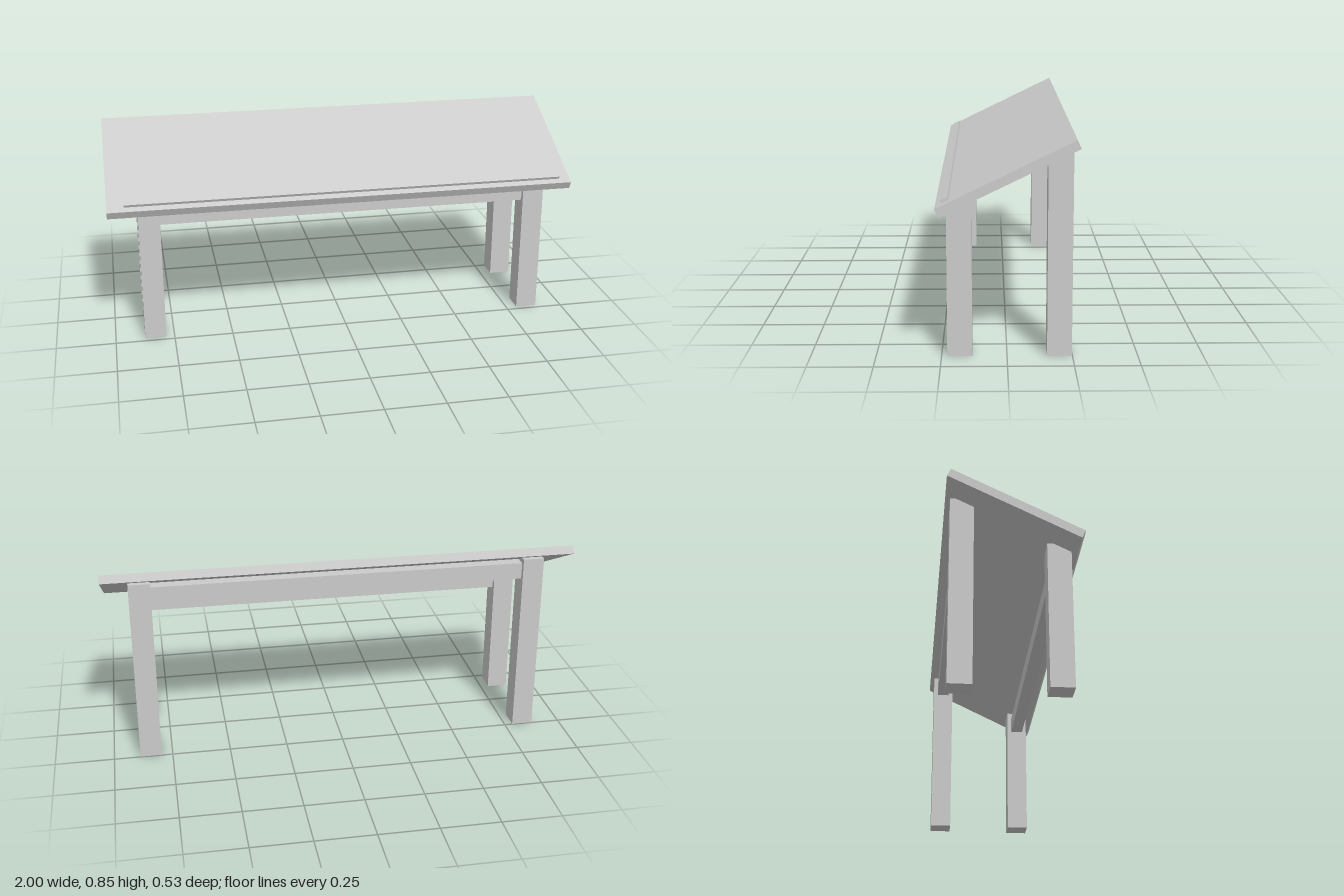
import * as THREE from 'three';

const material = new THREE.MeshStandardMaterial({ color: 0xcccccc, flatShading: true });

// Box given by its minimum and maximum on each axis
function box(name, [x0, x1], [y0, y1], [z0, z1]) {
  const mesh = new THREE.Mesh(new THREE.BoxGeometry(x1 - x0, y1 - y0, z1 - z0), material);
  mesh.name = name;
  mesh.position.set((x0 + x1) / 2, (y0 + y1) / 2, (z0 + z1) / 2);
  return mesh;
}

export function createModel() {
  const model = new THREE.Group();
  model.name = 'slantedDesk';

  // Sloping top with a narrow stop strip along its lower edge
  const top = new THREE.Group();
  top.name = 'slantedTop';
  top.position.set(0, 0.7105, 0);
  top.rotation.x = Math.atan2(0.252, 0.517);
  top.add(
    box('topBoard', [-1, 1], [-0.0178, 0.0178], [-0.2875, 0.2875]),
    box('stopStrip', [-0.93, 0.953], [0.0178, 0.03], [0.231, 0.261])
  );
  model.add(top);

  // Short front legs and tall back legs, each pair joined by a rail
  const sides = { right: [-0.875, -0.785], left: [0.797, 0.888] };
  const rows = [
    { name: 'front', height: 0.613, legZ: [0.133, 0.228], railY: [0.512, 0.583], railZ: [0.153, 0.208] },
    { name: 'back', height: 0.8, legZ: [-0.248, -0.153], railY: [0.706, 0.777], railZ: [-0.228, -0.173] }
  ];
  for (const row of rows) {
    for (const [side, legX] of Object.entries(sides)) {
      model.add(box(`${row.name}Leg_${side}`, legX, [0, row.height], row.legZ));
    }
    model.add(box(`${row.name}Rail`, [sides.right[1], sides.left[0]], row.railY, row.railZ));
  }
  return model;
}
